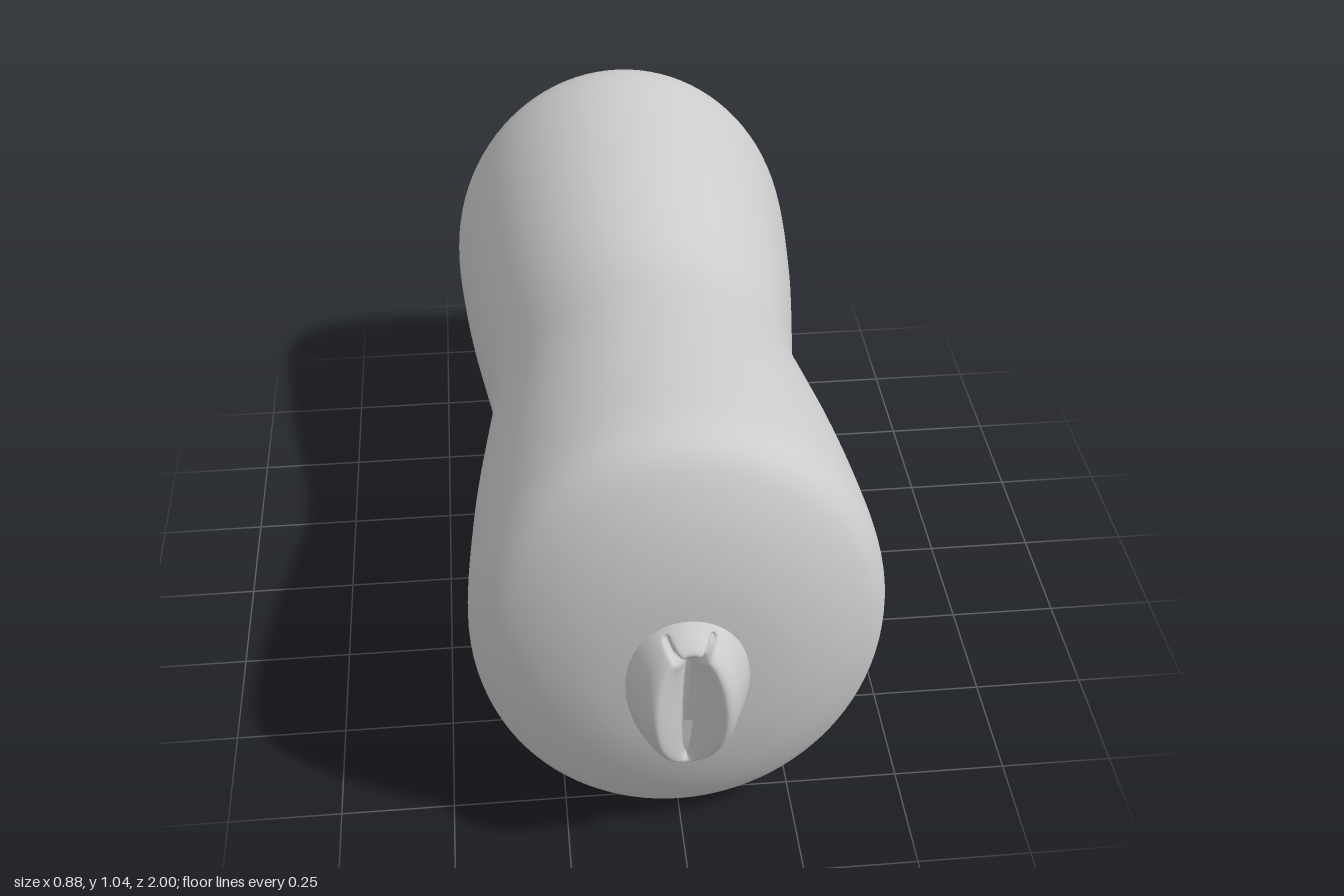
import * as THREE from 'three';

const lerp = THREE.MathUtils.lerp;
const smooth = THREE.MathUtils.smoothstep;

// Skin closed rings; point(t, a) gives [x, y, z] for ring t in 0..1 at angle a
function loft(name, rings, sides, point) {
  const pos = [], idx = [];
  for (let i = 0; i <= rings; i++) {
    for (let j = 0; j < sides; j++) pos.push(...point(i / rings, (j / sides) * Math.PI * 2));
  }
  for (let i = 0; i < rings; i++) {
    for (let j = 0; j < sides; j++) {
      const k = (j + 1) % sides;
      const a = i * sides + j, b = i * sides + k, c = b + sides, d = a + sides;
      idx.push(a, b, c, a, c, d);
    }
  }
  const geo = new THREE.BufferGeometry();
  geo.setAttribute('position', new THREE.Float32BufferAttribute(pos, 3));
  geo.setIndex(idx);
  geo.computeVertexNormals();
  const mesh = new THREE.Mesh(geo, new THREE.MeshStandardMaterial({ color: 0xcccccc, side: THREE.DoubleSide }));
  mesh.name = name;
  return mesh;
}

const spline = (pts) => new THREE.SplineCurve(pts.map(([u, v]) => new THREE.Vector2(u, v)));

// Waisted body profile as [radius, z]; the rear half mirrors the front
const frontHalf = [
  [0.373, 0.1], [0.39, 0.22], [0.415, 0.4], [0.432, 0.58], [0.438, 0.7], [0.431, 0.76],
  [0.408, 0.805], [0.36, 0.842], [0.29, 0.876], [0.2, 0.902], [0.1, 0.914],
];
const rearHalf = frontHalf.map(([r, z]) => [r, -z]).reverse();
const bodyProfile = spline([...rearHalf, [0.367, 0], ...frontHalf]);

// Raised front pad: cross-section height from rim (0) to slit (1)
const padSection = spline([[0, 0], [0.08, 0.42], [0.25, 0.84], [0.5, 1], [0.75, 0.86], [0.9, 0.6], [1, 0.3]]);

// Distance from a point to the mirrored V crease above the slit
function creaseDistance(x, y) {
  const dx = 0.045, dy = 0.052, px = Math.abs(x), py = y - 0.597;
  const s = THREE.MathUtils.clamp((px * dx + py * dy) / (dx * dx + dy * dy), 0, 1);
  return Math.hypot(px - s * dx, py - s * dy);
}

function padPoint(t, a) {
  const c = Math.cos(a), s = Math.sin(a);
  const x = lerp(0.131 * c * (1 + 0.2 * s), 0.012 * c, t);
  const y = lerp(0.475 + 0.21 * s, 0.45 + 0.15 * s, t);
  const height = 0.1 * Math.max(0, 1 - ((y - 0.5) / 0.245) ** 2);
  const crease = 0.022 * Math.exp(-((creaseDistance(x, y) / 0.006) ** 2));
  return [x, y, 0.9 + height * padSection.getPoint(t).y - crease * smooth(t, 0.05, 0.2)];
}

// Canal from the slit to the rear opening, with ring ridges
const holeY = 0.457;
function canalPoint(t, a) {
  const [sx, sy, sz] = padPoint(1, a);
  const widen = smooth(t, 0.03, 0.14);
  const ridged = 0.045 + 0.008 * Math.cos(t * Math.PI * 28);
  const r = lerp(ridged, 0.018, smooth(t, 0.85, 1));
  return [
    lerp(sx, r * Math.cos(a), widen),
    lerp(sy, holeY + r * Math.sin(a), widen),
    lerp(sz, -0.86, t),
  ];
}

// Rear nozzle profile as [radius, z], from the hole out to the flared base
const nozzleProfile = spline([
  [0.018, -0.86], [0.02, -0.91], [0.033, -0.95], [0.052, -0.98], [0.068, -0.996], [0.082, -0.999],
  [0.094, -0.986], [0.101, -0.96], [0.118, -0.93], [0.15, -0.908], [0.17, -0.885],
]);

export function createModel() {
  const group = new THREE.Group();
  group.name = 'model';

  group.add(loft('body', 96, 96, (t, a) => {
    const p = bodyProfile.getPoint(t);
    return [p.x * Math.cos(a), 0.519 + 1.185 * p.x * Math.sin(a), p.y];
  }));

  group.add(loft('frontPad', 60, 192, padPoint));
  group.add(loft('canal', 140, 48, canalPoint));

  group.add(loft('rearNozzle', 48, 64, (t, a) => {
    const p = nozzleProfile.getPoint(t);
    const cy = lerp(holeY, 0.472, smooth(t, 0, 0.5));
    return [p.x * Math.cos(a), cy + p.x * Math.sin(a), p.y];
  }));

  return group;
}
